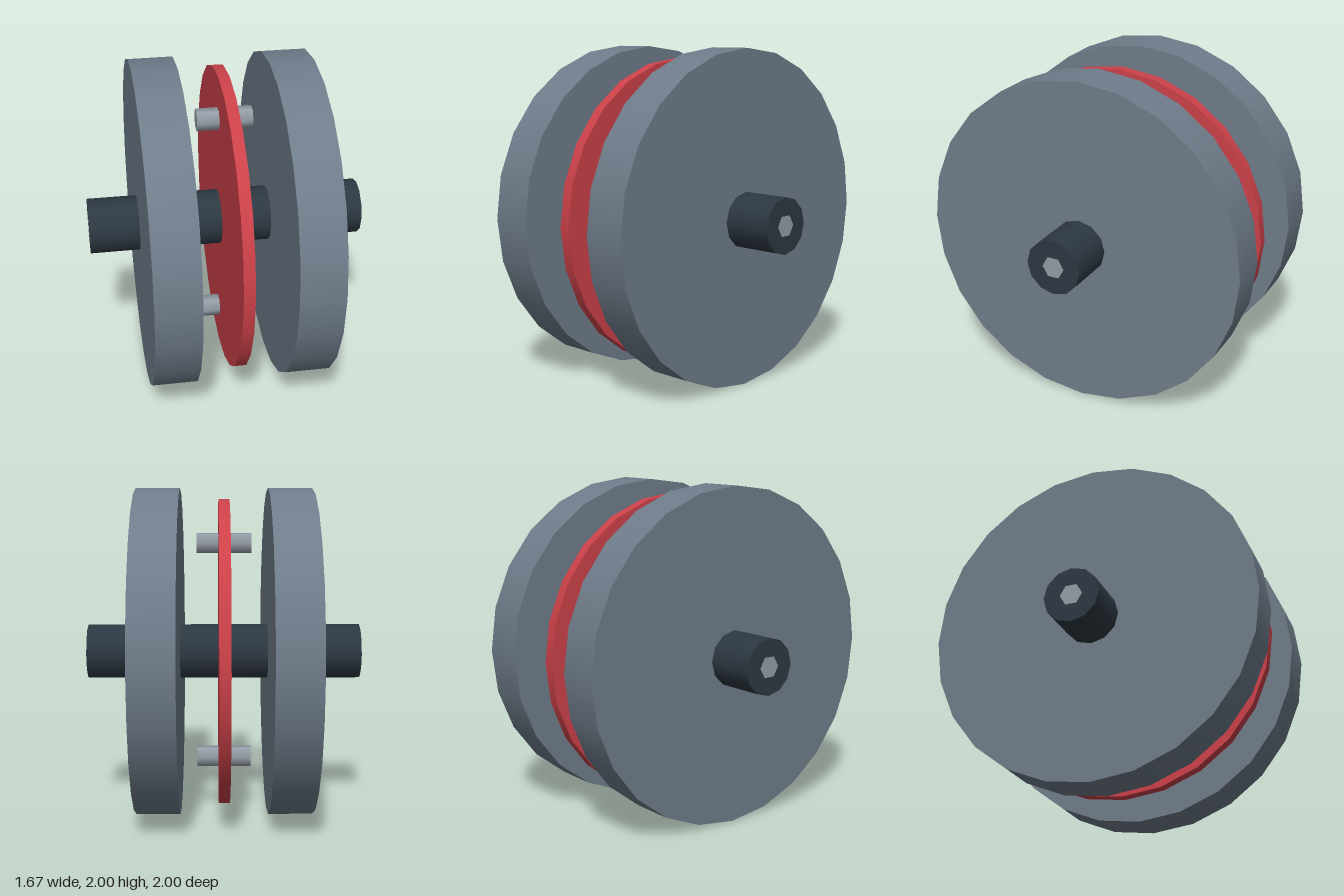
import * as THREE from 'three';

const material = (color) => new THREE.MeshStandardMaterial({ color });

export function createModel() {
  const model = new THREE.Group();
  const slate = material(0x6f7c8a);
  const dark = material(0x2d3842);
  const red = material(0xcc4149);
  const steel = material(0x949ca6);

  // Cylinder lying along x, placed at (x, y)
  function disc(name, radius, width, sides, mat, x, y) {
    const geometry = new THREE.CylinderGeometry(radius, radius, width, sides);
    geometry.rotateZ(-Math.PI / 2);
    const mesh = new THREE.Mesh(geometry, mat);
    mesh.name = name;
    mesh.position.set(x, y, 0);
    model.add(mesh);
  }

  // Axle with its hexagonal core, just proud of the axle ends
  disc('axle', 0.167, 1.667, 12, dark, 0, 1);
  disc('axleCore', 0.067, 1.671, 6, steel, 0, 1);

  // Thin central disc
  disc('centerDisc', 0.933, 0.067, 24, red, 0, 1);

  // Outer wheels
  disc('leftWheel', 1, 0.267, 24, slate, 0.4, 1);
  disc('rightWheel', 1, 0.267, 24, slate, -0.4, 1);

  // Short pins through the central disc
  disc('upperPin', 0.067, 0.333, 6, steel, 0, 1.667);
  disc('lowerPin', 0.067, 0.333, 6, steel, 0, 0.333);

  return model;
}
